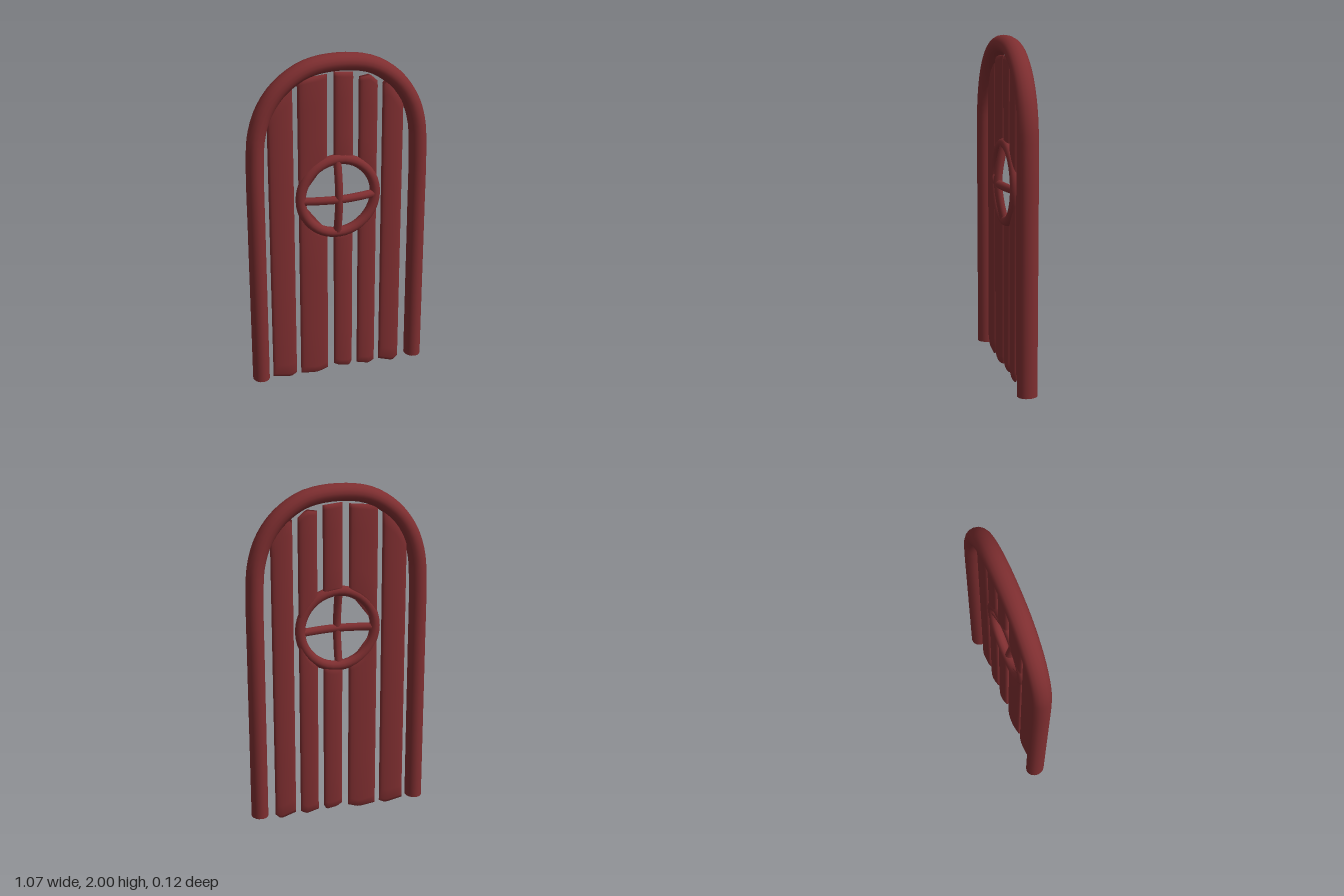
import * as THREE from 'three';

const material = new THREE.MeshStandardMaterial({ color: 0x7e2e30 });
const WINDOW = { x: 0, y: 1.16, r: 0.225, tube: 0.03 };

function part(name, geometry, parent) {
  const mesh = new THREE.Mesh(geometry, material);
  mesh.name = name;
  parent.add(mesh);
  return mesh;
}

const tubeAlong = (points, segments, radius, sides) => new THREE.TubeGeometry(
  new THREE.CatmullRomCurve3(points.map(p => new THREE.Vector3(...p))), segments, radius, sides);

// Height of a polyline [[x, y], ...] at x
function heightAt(points, x) {
  for (let i = 1; i < points.length; i++) {
    const [x0, y0] = points[i - 1], [x1, y1] = points[i];
    if (x <= x1 || i === points.length - 1) {
      return THREE.MathUtils.lerp(y0, y1, THREE.MathUtils.clamp((x - x0) / (x1 - x0), 0, 1));
    }
  }
}

// Half height of the round window opening at x
const opening = x => Math.sqrt(Math.max(0, WINDOW.r ** 2 - (x - WINDOW.x) ** 2));

// Thin rounded board from x0 to x1, its ends worn to an edge
function plankGeometry(x0, x1, bottom, top) {
  const sides = 20, depth = 0.022;
  const rows = [[0, 0.1], [0.012, 0.6], [0.05, 1], [0.3, 1], [0.7, 1], [0.95, 1], [0.988, 0.6], [1, 0.1]];
  const positions = [], index = [];
  rows.forEach(([t, thick], r) => {
    for (let i = 0; i < sides; i++) {
      const a = i / sides * Math.PI * 2, s = Math.sin(a);
      const x = (x0 + x1) / 2 + Math.cos(a) * (x1 - x0) / 2;
      const y = THREE.MathUtils.lerp(bottom(x), top(x), t);
      positions.push(x, y, -0.008 + Math.sign(s) * Math.abs(s) ** 0.75 * depth * thick);
      if (r === rows.length - 1) continue;
      const p = r * sides + i, q = r * sides + (i + 1) % sides;
      index.push(p, p + sides, q, q, p + sides, q + sides);
    }
  });
  // End caps
  const last = (rows.length - 1) * sides;
  for (let i = 1; i < sides - 1; i++) {
    index.push(0, i, i + 1, last, last + i + 1, last + i);
  }
  const geometry = new THREE.BufferGeometry();
  geometry.setAttribute('position', new THREE.Float32BufferAttribute(positions, 3));
  geometry.setIndex(index);
  geometry.computeVertexNormals();
  return geometry;
}

export function createModel() {
  const door = new THREE.Group();
  door.name = 'archedDoor';

  // Arched frame, slightly deeper than wide
  const frame = new THREE.Group();
  frame.name = 'frame';
  frame.position.z = -0.003;
  frame.scale.z = 1.16;
  door.add(frame);
  const half = [[0.487, 0.04], [0.487, 0.5], [0.487, 1], [0.485, 1.4], [0.472, 1.57],
    [0.425, 1.71], [0.335, 1.83], [0.19, 1.922]];
  const path = [...half.map(([x, y]) => [-x, y, 0]), [-0.01, 1.95, 0],
    ...half.map(([x, y]) => [x, y, 0]).reverse()];
  part('frameArch', tubeAlong(path, 96, 0.05, 16), frame);
  for (const side of [-1, 1]) {
    const foot = part('frameFoot', new THREE.CircleGeometry(0.05, 16).rotateX(Math.PI / 2), frame);
    foot.position.set(side * 0.487, 0.04, 0);
  }

  // Boards with uneven ends; the middle three are cut by the window
  const planks = new THREE.Group();
  planks.name = 'planks';
  door.add(planks);
  const boards = [
    { bottom: [[-0.41, 0.03], [-0.3, 0.01], [-0.262, 0.03]], top: [[-0.41, 1.67], [-0.34, 1.78], [-0.262, 1.85]] },
    { bottom: [[-0.235, 0.02], [-0.13, 0.008], [-0.063, 0.03]], top: [[-0.235, 1.85], [-0.22, 1.87], [-0.063, 1.885]], cut: true },
    { bottom: [[-0.025, 0.05], [0.01, 0.03], [0.075, 0.02], [0.09, 0.05]], top: [[-0.025, 1.895], [0.09, 1.883]], cut: true },
    { bottom: [[0.123, 0.03], [0.2, 0.01], [0.235, 0.03]], top: [[0.123, 1.855], [0.185, 1.865], [0.235, 1.82]], cut: true },
    { bottom: [[0.265, 0.03], [0.36, 0], [0.392, 0.03]], top: [[0.265, 1.81], [0.295, 1.835], [0.392, 1.69]] },
  ];
  for (const { bottom, top, cut } of boards) {
    const x0 = bottom[0][0], x1 = bottom.at(-1)[0];
    const low = x => heightAt(bottom, x), high = x => heightAt(top, x);
    if (cut) {
      part('lowerPlank', plankGeometry(x0, x1, low, x => WINDOW.y - opening(x)), planks);
      part('upperPlank', plankGeometry(x0, x1, x => WINDOW.y + opening(x), high), planks);
    } else {
      part('plank', plankGeometry(x0, x1, low, high), planks);
    }
  }

  // Round window: ring and two crossed bars bowed forward
  const windowGroup = new THREE.Group();
  windowGroup.name = 'window';
  windowGroup.position.set(WINDOW.x, WINDOW.y, 0);
  door.add(windowGroup);
  part('windowRing', new THREE.TorusGeometry(WINDOW.r, WINDOW.tube, 12, 40), windowGroup);
  const r = WINDOW.r;
  const bar = tubeAlong([[-r, 0, 0], [-r / 2, 0, 0.025], [0, 0, 0.037], [r / 2, 0, 0.025], [r, 0, 0]], 20, 0.024, 10);
  part('horizontalBar', bar, windowGroup).position.y = -0.008;
  const upright = part('verticalBar', bar, windowGroup);
  upright.rotation.z = Math.PI / 2;
  upright.position.set(-0.007, 0, 0.003);

  return door;
}
